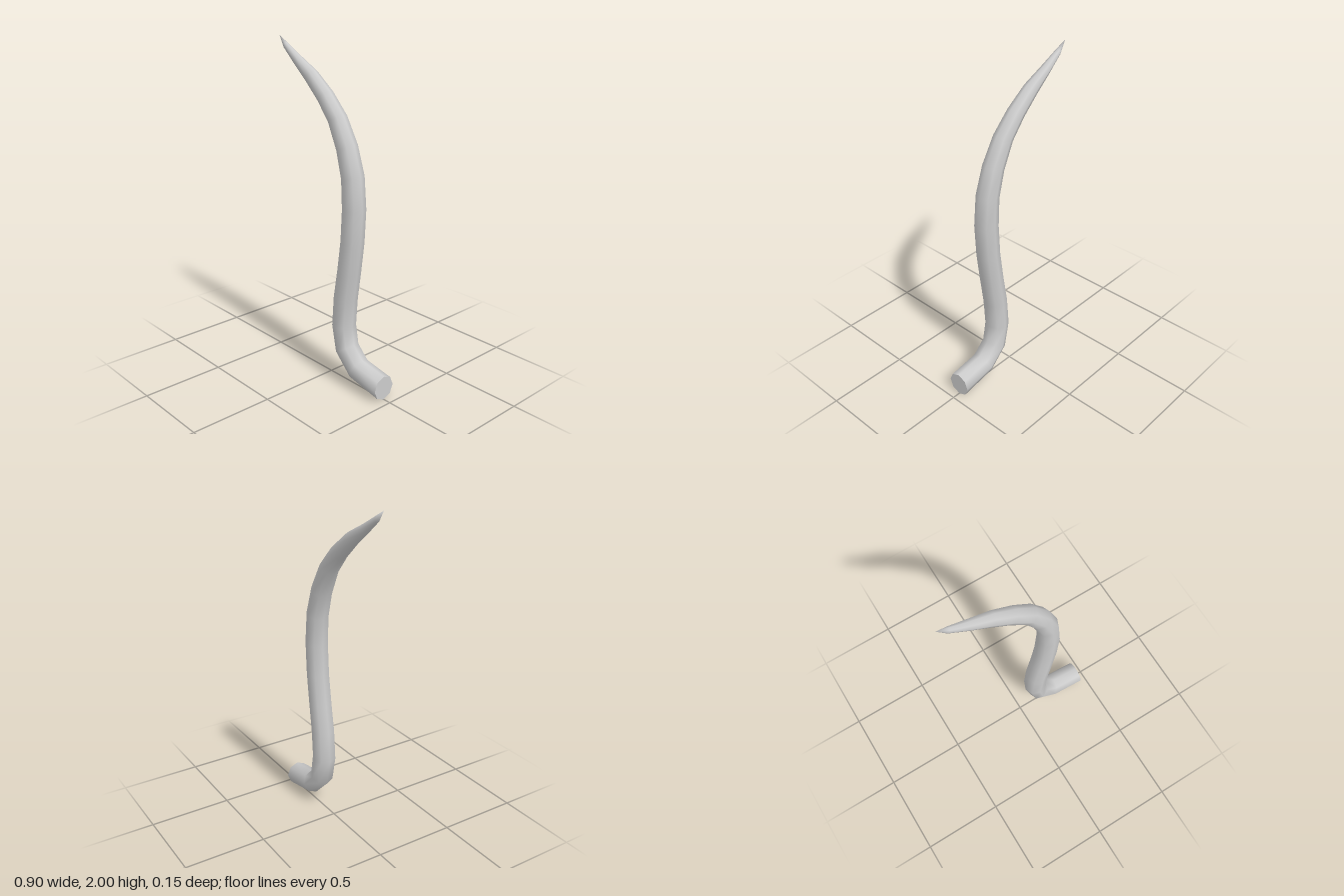
import * as THREE from 'three';

const SIDES = 8;

// Cross-sections from base to tip: outer x, y; inner x, y; half depth in z
const SECTIONS = [
  [0.45, 0.0, 0.45, 0.148, 0.073],
  [0.21, 0.05, 0.27, 0.178, 0.073],
  [0.08, 0.178, 0.2, 0.248, 0.073],
  [0.042, 0.35, 0.182, 0.36, 0.072],
  [0.055, 0.54, 0.195, 0.53, 0.071],
  [0.085, 0.72, 0.22, 0.7, 0.07],
  [0.11, 0.9, 0.245, 0.89, 0.069],
  [0.12, 1.09, 0.257, 1.095, 0.068],
  [0.112, 1.26, 0.24, 1.29, 0.066],
  [0.072, 1.41, 0.185, 1.46, 0.062],
  [0.0, 1.56, 0.1, 1.61, 0.056],
  [-0.09, 1.665, -0.012, 1.73, 0.05],
  [-0.2, 1.765, -0.14, 1.83, 0.042],
  [-0.31, 1.855, -0.275, 1.9, 0.03],
  [-0.4, 1.93, -0.385, 1.963, 0.017],
  [-0.45, 2.0, -0.45, 2.0, 0],
];

// One octagonal ring of points, with a corner on the outer edge
function ring([ox, oy, ix, iy, r]) {
  const points = [];
  for (let j = 0; j < SIDES; j++) {
    const a = (j / SIDES) * Math.PI * 2;
    const c = Math.cos(a) / 2;
    points.push((ox + ix) / 2 + (ox - ix) * c, (oy + iy) / 2 + (oy - iy) * c, r * Math.sin(a));
  }
  return points;
}

function buildMesh(name, positions, indices, material) {
  const geometry = new THREE.BufferGeometry();
  geometry.setAttribute('position', new THREE.Float32BufferAttribute(positions, 3));
  geometry.setIndex(indices);
  geometry.computeVertexNormals();
  const mesh = new THREE.Mesh(geometry, material);
  mesh.name = name;
  return mesh;
}

export function createModel() {
  const group = new THREE.Group();
  group.name = 'curvedHorn';
  const material = new THREE.MeshStandardMaterial({ color: 0xcccccc, side: THREE.DoubleSide });

  // Tapering horn, skinned through the rings and closed at the tip
  const rings = SECTIONS.slice(0, -1);
  const tip = SECTIONS[SECTIONS.length - 1];
  const positions = [...rings.flatMap(ring), tip[0], tip[1], 0];
  const tipIndex = rings.length * SIDES;
  const indices = [];
  for (let i = 0; i < rings.length; i++) {
    for (let j = 0; j < SIDES; j++) {
      const k = (j + 1) % SIDES;
      const a = i * SIDES + j;
      const b = i * SIDES + k;
      if (i === rings.length - 1) indices.push(a, b, tipIndex);
      else indices.push(a, b, b + SIDES, a, b + SIDES, a + SIDES);
    }
  }
  group.add(buildMesh('horn', positions, indices, material));

  // Flat octagonal end at the base
  const capIndices = [];
  for (let j = 1; j < SIDES - 1; j++) capIndices.push(0, j + 1, j);
  group.add(buildMesh('baseCap', ring(SECTIONS[0]), capIndices, material));

  return group;
}
